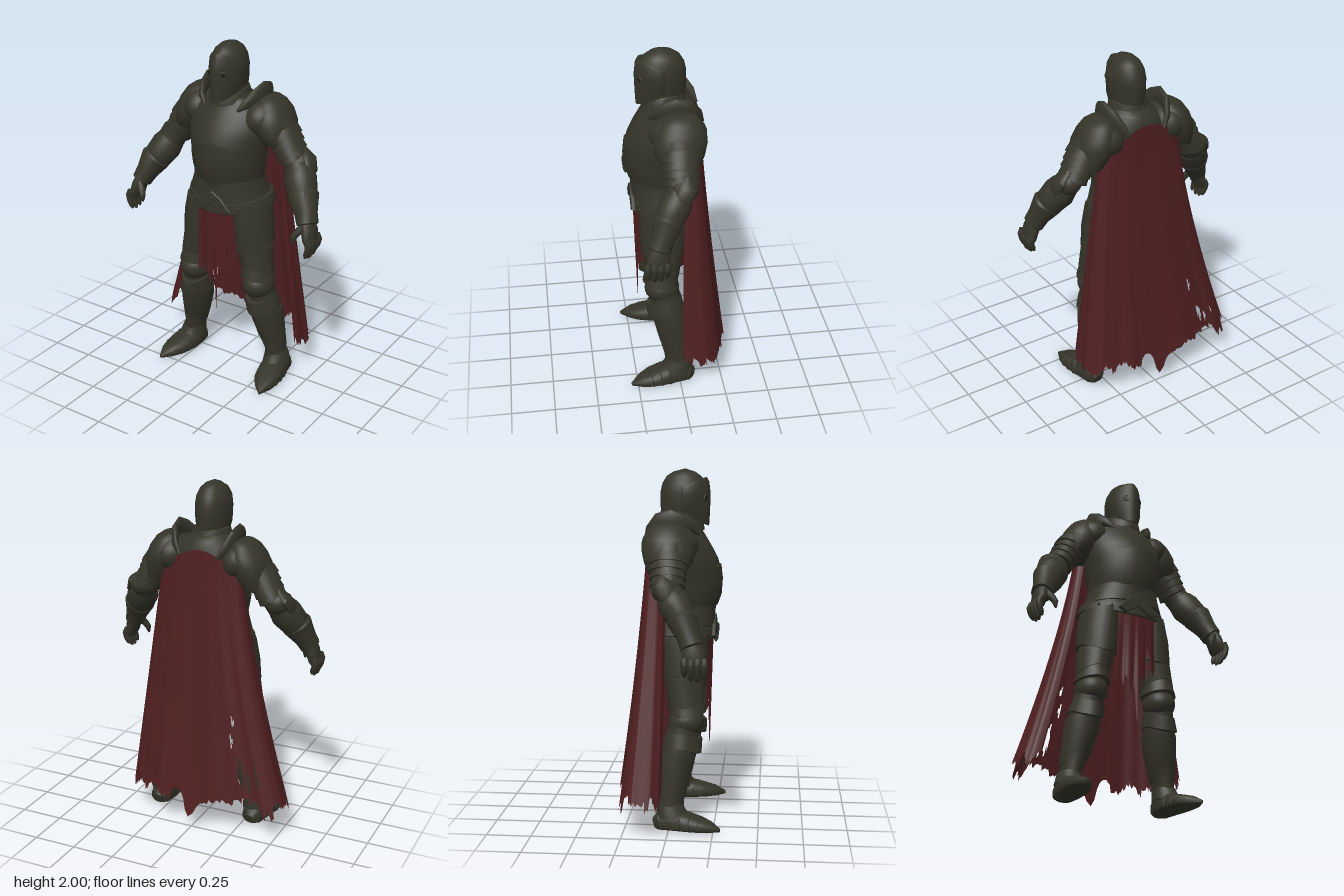
import * as THREE from 'three';
import { toCreasedNormals } from 'three/addons/utils/BufferGeometryUtils.js';

const steel = new THREE.MeshStandardMaterial({ color: 0x343429 });
steel.name = 'dark steel';
const cloth = new THREE.MeshStandardMaterial({ color: 0x4f1f20, side: THREE.DoubleSide });
cloth.name = 'red cloth';
const hollow = new THREE.MeshStandardMaterial({ color: 0x1b1b16 });
hollow.name = 'eye black';

const hash = (i) => { const s = Math.sin(i * 127.1 + 11.7) * 43758.5453; return s - Math.floor(s); };
const power = (v, e) => Math.sign(v) * Math.abs(v) ** e;
const bump = (u, c, w) => Math.exp(-(((u - c) / w) ** 2));

// Closed skin over rings. Row: x, y, z, side radius, front radius, back radius, front lift.
function loft(rows, { n = 28, p = 2, ridge = 0, flat = true, ref = [0, 0, 1] } = {}) {
  const pos = [], idx = [], last = rows.length - 1;
  const pt = (r) => new THREE.Vector3(r[0], r[1], r[2]);
  const f0 = new THREE.Vector3(...ref);
  rows.forEach((r, i) => {
    const t = flat ? new THREE.Vector3(0, Math.sign(rows[last][1] - rows[0][1]), 0)
      : pt(rows[Math.min(i + 1, last)]).sub(pt(rows[Math.max(i - 1, 0)])).normalize();
    const s = t.clone().cross(f0).normalize(), f = s.clone().cross(t);
    const [, , , rx, rf = rx, rb = rf, lift = 0] = r;
    for (let j = 0; j < n; j++) {
      const a = (j / n) * Math.PI * 2, c = Math.cos(a), front = Math.max(c, 0);
      const v = pt(r).addScaledVector(s, rx * power(Math.sin(a), 2 / p))
        .addScaledVector(f, power(c, 2 / p) * (c > 0 ? rf : rb) + ridge * front ** 8);
      pos.push(v.x, v.y + lift * front ** 1.5, v.z);
    }
  });
  for (let i = 0; i < last; i++) for (let j = 0; j < n; j++) {
    const k = (j + 1) % n, a = i * n + j, b = i * n + k;
    idx.push(a, b, b + n, a, b + n, a + n);
  }
  const c0 = pos.length / 3;
  pos.push(...rows[0].slice(0, 3), ...rows[last].slice(0, 3));
  for (let j = 0; j < n; j++) {
    const k = (j + 1) % n;
    idx.push(c0, k, j, c0 + 1, last * n + j, last * n + k);
  }
  return build(pos, idx);
}

function build(pos, idx) {
  const g = new THREE.BufferGeometry();
  g.setAttribute('position', new THREE.Float32BufferAttribute(pos, 3));
  g.setIndex(idx);
  return g;
}

// Open sheet, u from -1 to 1 and v from 0 to 1, with torn holes.
function sheet(nu, nv, fn, torn) {
  const pos = [], idx = [];
  for (let j = 0; j <= nv; j++) for (let i = 0; i <= nu; i++) pos.push(...fn((i / nu) * 2 - 1, j / nv, i));
  for (let j = 0; j < nv; j++) for (let i = 0; i < nu; i++) {
    const a = j * (nu + 1) + i, b = a + nu + 1;
    if (!torn((i / nu) * 2 - 1, pos[a * 3 + 1])) idx.push(a, b, a + 1, b, b + 1, a + 1);
  }
  const g = build(pos, idx);
  g.computeVertexNormals();
  return g;
}

const ball = (x, y, z, rx, ry, rz, tilt = 0) => new THREE.SphereGeometry(1, 28, 18).scale(rx, ry, rz).rotateZ(tilt).translate(x, y, z);

function mirrored(g) {
  const m = g.clone();
  for (const key of ['position', 'normal']) {
    const a = m.attributes[key].array;
    for (let i = 0; i < a.length; i += 9) for (let k = 0; k < 3; k++) {
      const sign = k === 0 ? -1 : 1, b = a[i + 3 + k];
      a[i + k] *= sign;
      a[i + 3 + k] = a[i + 6 + k] * sign;
      a[i + 6 + k] = b * sign;
    }
  }
  return m;
}

export function createModel() {
  const model = new THREE.Group();
  model.name = 'armouredKnight';
  const put = (name, g, mat) => {
    const m = new THREE.Mesh(g, mat);
    m.name = name;
    model.add(m);
  };
  const one = (name, g) => put(name, toCreasedNormals(g, 0.65), steel);
  const pair = (name, g, mat = steel) => {
    const c = toCreasedNormals(g, 0.65);
    put('left' + name, c, mat);
    put('right' + name, mirrored(c), mat);
  };

  // Helmet with ridged visor and round eye holes
  one('helmet', loft([[0, 1.74, 0.06, 0.09, 0.11, 0.128, -0.04], [0, 1.8, 0.06, 0.096, 0.125, 0.135], [0, 1.87, 0.06, 0.098, 0.13, 0.135],
    [0, 1.92, 0.06, 0.09, 0.118, 0.124], [0, 1.96, 0.06, 0.07, 0.09, 0.1], [0, 1.985, 0.06, 0.042, 0.055, 0.062], [0, 2, 0.06, 0.004]], { n: 36, ridge: 0.006 }));
  one('visor', loft([[0, 1.75, 0.06, 0.084, 0.122, 0.03, -0.065], [0, 1.78, 0.06, 0.098, 0.126, 0.03, -0.03], [0, 1.86, 0.06, 0.102, 0.13, 0.03],
    [0, 1.9, 0.06, 0.097, 0.122, 0.03, 0.03], [0, 1.915, 0.06, 0.088, 0.108, 0.03, 0.04]], { n: 36, ridge: 0.018 }));
  pair('EyeRim', new THREE.TorusGeometry(0.016, 0.005, 8, 20).rotateY(0.45).translate(0.042, 1.84, 0.184));
  pair('EyeHole', new THREE.CylinderGeometry(0.014, 0.014, 0.008, 18).rotateX(Math.PI / 2).rotateY(0.45).translate(0.042, 1.84, 0.184), hollow);

  // Neck guard
  one('gorgetBase', loft([[0, 1.64, 0.02, 0.155, 0.14, 0.15, -0.03], [0, 1.69, 0.03, 0.13, 0.125, 0.135, -0.02], [0, 1.715, 0.04, 0.11, 0.1, 0.11]], { ridge: 0.01 }));
  one('gorgetCollar', loft([[0, 1.69, 0.04, 0.115, 0.125, 0.12, -0.03], [0, 1.745, 0.045, 0.1, 0.115, 0.11, -0.04], [0, 1.755, 0.05, 0.085]], { ridge: 0.01 }));

  // Breastplate and waist
  one('breastplate', loft([[0, 1.18, 0.05, 0.195, 0.17, 0.145], [0, 1.25, 0.05, 0.2, 0.183, 0.145], [0, 1.35, 0.05, 0.215, 0.212, 0.165], [0, 1.43, 0.05, 0.228, 0.208, 0.178],
    [0, 1.5, 0.05, 0.236, 0.189, 0.185], [0, 1.56, 0.05, 0.236, 0.158, 0.188], [0, 1.63, 0.045, 0.21, 0.122, 0.18], [0, 1.68, 0.04, 0.16, 0.095, 0.15], [0, 1.71, 0.04, 0.1]], { n: 40, p: 2, ridge: 0.014 }));
  one('bellyPlate', loft([[0, 1.24, 0.05, 0.203, 0.188, 0.15], [0, 1.3, 0.05, 0.212, 0.21, 0.16], [0, 1.34, 0.05, 0.219, 0.216, 0.168, 0.05],
    [0, 1.36, 0.05, 0.222, 0.207, 0.172, 0.11], [0, 1.361, 0.05, 0.21, 0.195, 0.15, 0.11]], { n: 40, p: 2, ridge: 0.014 }));

  // Skirt lames, belt, buckle and studs
  one('upperFauld', loft([[0, 1.14, 0.04, 0.235, 0.2, 0.165], [0, 1.22, 0.045, 0.208, 0.192, 0.152], [0, 1.25, 0.05, 0.203, 0.186, 0.148]], { n: 36, p: 2.2 }));
  one('lowerFauld', loft([[0, 1.05, 0.03, 0.252, 0.185, 0.17], [0, 1.1, 0.03, 0.25, 0.195, 0.17], [0, 1.17, 0.035, 0.22, 0.19, 0.155]], { n: 36, p: 2.2 }));
  one('pelvis', loft([[0, 0.92, 0.04, 0.08, 0.08, 0.09], [0, 0.97, 0.04, 0.18, 0.12, 0.13], [0, 1.08, 0.04, 0.235, 0.16, 0.15]]));
  one('belt', loft([[0, 1.09, 0.03, 0.26, 0.205, 0.18, -0.04], [0, 1.095, 0.03, 0.264, 0.21, 0.183, -0.04], [0, 1.145, 0.03, 0.25, 0.208, 0.175, -0.035], [0, 1.15, 0.03, 0.238, 0.195, 0.165, -0.035]], { n: 36, p: 2.1 }));
  const arch = new THREE.Shape([[-0.12, 1.08], [-0.055, 1.15], [0, 1.18], [0.055, 1.15], [0.12, 1.08], [0.08, 1.06], [0, 1.11], [-0.08, 1.06]].map((q) => new THREE.Vector2(...q)).reverse());
  one('buckle', new THREE.ExtrudeGeometry(arch, { depth: 0.015, bevelSize: 0.004, bevelThickness: 0.004, bevelSegments: 1 }).translate(0, 0, 0.228));
  for (const x of [0.15, 0.21]) pair('BeltStud', ball(x, 1.075 + x * 0.15, 0.034 + 0.207 * Math.sqrt(1 - (x / 0.262) ** 2), 0.008, 0.008, 0.008));

  // Shoulders: cap, upright crest, overlapping lames
  pair('Pauldron', loft([[0.295, 1.44, 0, 0.085, 0.1, 0.11, 0.02], [0.275, 1.5, 0, 0.102, 0.13, 0.138], [0.257, 1.57, -0.005, 0.112, 0.145, 0.15], [0.24, 1.63, -0.01, 0.103, 0.13, 0.14],
    [0.227, 1.68, -0.01, 0.08, 0.098, 0.11], [0.218, 1.705, -0.01, 0.052, 0.065, 0.08], [0.215, 1.715, -0.01, 0.01]]));
  pair('PauldronPlate', ball(0.2, 1.59, -0.003, 0.11, 0.115, 0.157, -0.35));
  pair('ShoulderCrest', loft([[0.105, 1.64, 0.145, 0.008, 0.008], [0.145, 1.68, 0.115, 0.018, 0.028], [0.172, 1.707, 0.06, 0.022, 0.05], [0.184, 1.72, 0, 0.022, 0.066],
    [0.178, 1.71, -0.065, 0.022, 0.055], [0.15, 1.665, -0.12, 0.018, 0.033], [0.11, 1.61, -0.15, 0.008, 0.01]], { flat: false, ref: [0, 1, 0], n: 16 }));
  for (let i = 0; i < 4; i++) {
    const x = 0.303 + i * 0.02, y = 1.535 - i * 0.037, r = 0.088 - i * 0.004;
    pair('ArmLame', loft([[x, y, 0, r - 0.002, r + 0.012], [x + 0.026, y - 0.045, 0, r + 0.003, r + 0.02], [x + 0.028, y - 0.048, 0, r - 0.008, r]], { flat: false }));
  }

  // Arms
  pair('Arm', loft([[0.28, 1.58, 0, 0.08, 0.1], [0.345, 1.46, 0, 0.08, 0.088], [0.405, 1.37, 0.005, 0.07, 0.075], [0.445, 1.3, 0.04, 0.08, 0.08],
    [0.495, 1.22, 0.09, 0.072, 0.07], [0.548, 1.12, 0.135, 0.05, 0.05]], { flat: false }));
  pair('ElbowCap', ball(0.42, 1.37, -0.005, 0.073, 0.07, 0.08));
  pair('ElbowWing', loft([[0.418, 1.47, -0.02, 0.003, 0.006], [0.435, 1.435, -0.02, 0.014, 0.03], [0.468, 1.395, -0.015, 0.03, 0.055], [0.5, 1.34, 0.01, 0.022, 0.045], [0.51, 1.31, 0.02, 0.004, 0.01]], { flat: false, n: 16 }));
  pair('Vambrace', loft([[0.428, 1.335, 0.025, 0.08, 0.08], [0.45, 1.295, 0.045, 0.092, 0.09], [0.495, 1.22, 0.09, 0.082, 0.078], [0.5, 1.21, 0.093, 0.07, 0.07]], { flat: false }));
  pair('GauntletCuff', loft([[0.488, 1.235, 0.082, 0.078, 0.076], [0.497, 1.222, 0.09, 0.089, 0.084], [0.537, 1.14, 0.125, 0.064, 0.062], [0.56, 1.09, 0.145, 0.057, 0.064], [0.562, 1.085, 0.147, 0.04, 0.05]], { flat: false }));

  // Hands
  pair('Palm', loft([[0.552, 1.11, 0.14, 0.042, 0.05], [0.575, 1.06, 0.15, 0.038, 0.062], [0.587, 1.01, 0.158, 0.032, 0.066], [0.592, 0.985, 0.16, 0.022, 0.055]], { flat: false }));
  for (let i = 0; i < 4; i++) {
    const z = 0.108 + i * 0.035, d = [0.025, 0.005, 0, 0.012][i];
    pair('Finger', loft([[0.595, 1.03, z, 0.02], [0.608, 1, z, 0.021], [0.603, 0.96 + d / 2, z, 0.018], [0.592, 0.925 + d, z, 0.015], [0.585, 0.908 + d, z, 0.005]], { flat: false, n: 12 }));
  }
  pair('Thumb', loft([[0.555, 1.09, 0.175, 0.02], [0.525, 1.05, 0.2, 0.021], [0.51, 1.02, 0.212, 0.018], [0.507, 0.985, 0.215, 0.006]], { flat: false, n: 12 }));

  // Legs
  pair('Leg', loft([[0.13, 1.05, 0.05, 0.11, 0.125, 0.13], [0.168, 0.88, 0.065, 0.105, 0.115, 0.11], [0.195, 0.75, 0.08, 0.092, 0.1, 0.095], [0.217, 0.62, 0.08, 0.078, 0.085, 0.08],
    [0.23, 0.52, 0.065, 0.084, 0.085, 0.09], [0.245, 0.4, 0.045, 0.092, 0.088, 0.1], [0.265, 0.28, 0.025, 0.08, 0.08, 0.085], [0.287, 0.17, 0.005, 0.06, 0.072, 0.066], [0.295, 0.06, 0, 0.062, 0.07, 0.07]], { ridge: 0.008 }));
  pair('Tasset', loft([[0.145, 1.09, 0.05, 0.112, 0.15, 0.13], [0.16, 0.98, 0.06, 0.118, 0.142, 0.125], [0.174, 0.87, 0.065, 0.114, 0.127, 0.118, -0.05], [0.175, 0.866, 0.065, 0.102, 0.115, 0.108, -0.05]], { ridge: 0.008 }));
  pair('ThighPlate', loft([[0.178, 0.85, 0.07, 0.106, 0.115, 0.108], [0.208, 0.69, 0.08, 0.094, 0.103, 0.09, 0.04], [0.209, 0.686, 0.08, 0.08, 0.09, 0.08, 0.04]], { ridge: 0.008 }));
  pair('KneeCap', ball(0.217, 0.605, 0.09, 0.09, 0.085, 0.1));
  pair('KneeRim', loft([[0.206, 0.7, 0.08, 0.09, 0.1, 0.085, 0.03], [0.213, 0.645, 0.085, 0.1, 0.11, 0.088, 0.015], [0.214, 0.64, 0.085, 0.086, 0.09, 0.08, 0.015]], { ridge: 0.006 }));
  pair('ShinCollar', loft([[0.224, 0.55, 0.07, 0.088, 0.1, 0.09, -0.04], [0.236, 0.47, 0.06, 0.1, 0.106, 0.098, -0.04], [0.237, 0.466, 0.06, 0.086, 0.09, 0.09, -0.04]], { ridge: 0.012 }));
  pair('Greave', loft([[0.24, 0.44, 0.05, 0.098, 0.09, 0.103], [0.25, 0.37, 0.04, 0.096, 0.088, 0.105], [0.268, 0.26, 0.02, 0.081, 0.08, 0.086], [0.284, 0.18, 0.006, 0.068, 0.074, 0.071, 0.03], [0.285, 0.176, 0.006, 0.058, 0.064, 0.06, 0.03]], { ridge: 0.01 }));

  // Armoured feet
  pair('AnkleLame', loft([[0.303, 0.075, 0.01, 0.078, 0.11, 0.08], [0.298, 0.12, 0.005, 0.07, 0.083, 0.074], [0.294, 0.145, 0.003, 0.065, 0.076, 0.068]]));
  pair('Foot', loft([[0.3, 0.022, -0.08, 0.03, 0.04, 0.018], [0.302, 0.03, -0.055, 0.06, 0.07, 0.03], [0.305, 0.03, 0.02, 0.072, 0.09, 0.03], [0.315, 0.03, 0.1, 0.079, 0.07, 0.03],
    [0.328, 0.028, 0.17, 0.073, 0.05, 0.028], [0.343, 0.022, 0.23, 0.05, 0.036, 0.022], [0.355, 0.016, 0.29, 0.006, 0.008, 0.012]], { flat: false, ref: [0, 1, 0], p: 2.6 }));
  for (const [x, z, w, h] of [[0.313, 0.08, 0.082, 0.086], [0.322, 0.13, 0.081, 0.068], [0.332, 0.18, 0.072, 0.052]]) {
    pair('ToeLame', loft([[x - 0.006, 0.025, z - 0.035, w - 0.006, h - 0.006, 0.02], [x, 0.025, z, w, h, 0.022], [x + 0.001, 0.025, z + 0.004, w - 0.01, h - 0.01, 0.02]], { flat: false, ref: [0, 1, 0], p: 2.5 }));
  }

  // Cape: wraps round the back, sweeps toward the right, ragged hem and tears
  const tears = [[-0.28, 0.42, 0.11, 0.016], [-0.235, 0.6, 0.05, 0.011], [-0.325, 0.36, 0.06, 0.014], [-0.26, 0.72, 0.04, 0.01], [-0.42, 0.4, 0.07, 0.012]];
  const cape = sheet(180, 50, (u, v, i) => {
    const right = u < 0;
    const top = 1.65 - 0.14 * Math.min(1, Math.abs(u) * 1.6) ** 1.3;
    const jag = (hash(i) - 0.5) * 0.03 + (hash(Math.floor(i / 4) + 300) - 0.5) * 0.06 + 0.02 * Math.sin(u * 29);
    const hem = 0.21 + jag - 0.12 * bump(u, 0, 0.022) + 0.08 * bump(u, -0.29, 0.05) - 0.06 * bump(u, -0.43, 0.04) - 0.03 * bump(u, 0.7, 0.06);
    const y = top + (hem - top) * v, f = (1.65 - y) / 1.45, a = u * (right ? 2.2 : 1.9);
    const w = right ? 0.225 + 0.325 * f ** 1.4 : 0.225 + 0.2 * f ** 0.9;
    const back = -0.14 - 0.148 * f ** 1.25, mid = -0.1 + 0.09 * Math.sqrt(f) - (right ? 0.13 : 0.08) * f;
    const fold = f * (0.006 * Math.sin(u * 19 + 1) + 0.003 * Math.sin(u * 41 + f * 3));
    return [w * power(Math.sin(a), 0.8) + fold * u, y, mid + (back - mid) * power(Math.cos(a), right ? 0.55 : 0.75) + fold * (1 - u * u)];
  }, (u, y) => tears.some(([a, c, h, w]) => Math.abs(u - a) < w * (1 - ((y - c) / h) ** 2)));
  put('cape', cape, cloth);

  // Torn cloth hanging from the belt
  const loin = sheet(60, 30, (u, v, i) => {
    const hem = 0.7 + (hash(i + 70) - 0.5) * 0.09 - 0.25 * bump(u, 0, 0.09) - 0.12 * bump(u, -0.3, 0.12) - 0.08 * bump(u, 0.35, 0.1) + 0.05 * u;
    return [0.005 + u * (0.115 + 0.015 * v), 1.11 + (hem - 1.11) * v, 0.23 - 0.02 * v - 0.02 * u * u + 0.007 * v * Math.sin(u * 11)];
  }, (u, y) => Math.abs(u - 0.55) < 0.06 * (1 - ((y - 0.8) / 0.05) ** 2));
  put('loincloth', loin, cloth);

  return model;
}
